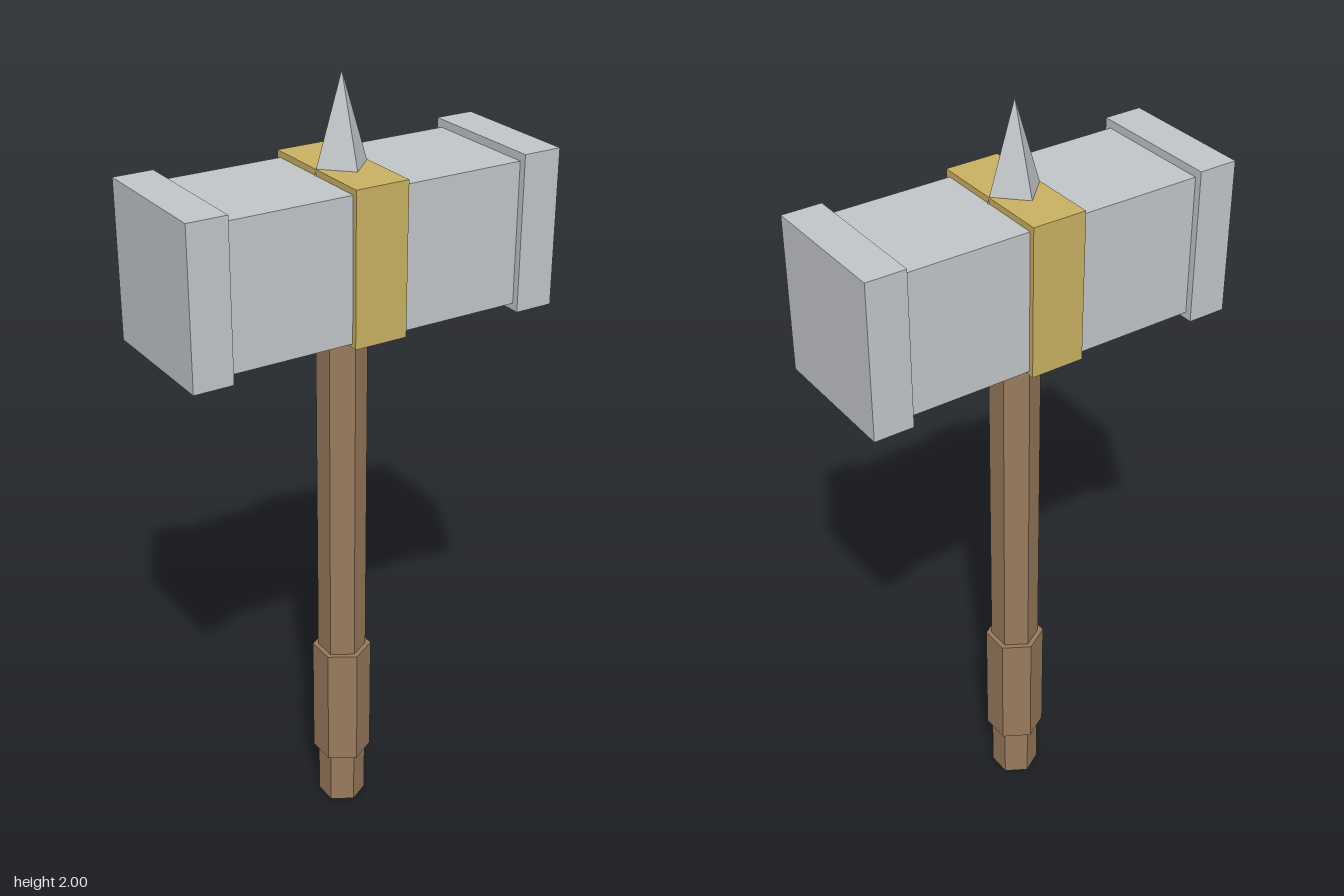
import * as THREE from 'three';

export function createModel() {
  const model = new THREE.Group();
  model.name = 'warHammer';

  const material = (name, color) => {
    const m = new THREE.MeshStandardMaterial({ color });
    m.name = name;
    return m;
  };
  const steel = material('steel', 0xc2c6c9);
  const gold = material('gold', 0xc9b161);
  const wood = material('wood', 0x987a5c);

  const add = (name, geometry, mat, x, y) => {
    const mesh = new THREE.Mesh(geometry, mat);
    mesh.name = name;
    mesh.position.set(x, y, 0);
    model.add(mesh);
  };

  // Box spanning x0..x1 and y0..y1, centred on z
  const block = (name, mat, x0, x1, y0, y1, depth) =>
    add(name, new THREE.BoxGeometry(x1 - x0, y1 - y0, depth), mat, (x0 + x1) / 2, (y0 + y1) / 2);

  // Faceted upright prism or cone from y0 to y1
  const prism = (name, mat, rTop, rBottom, sides, y0, y1) => {
    const g = new THREE.CylinderGeometry(rTop, rBottom, y1 - y0, sides).toNonIndexed();
    g.computeVertexNormals();
    add(name, g, mat, 0, (y0 + y1) / 2);
  };

  // Hexagonal handle with a thicker grip
  prism('handle', wood, 0.062, 0.062, 6, 0, 1.45);
  prism('grip', wood, 0.076, 0.076, 6, 0.15, 0.48);

  // Head with a striking cap at each end
  block('head', steel, -0.39, 0.39, 1.417, 1.77, 0.316);
  block('leftCap', steel, 0.386, 0.486, 1.4, 1.79, 0.352);
  block('rightCap', steel, -0.486, -0.386, 1.4, 1.79, 0.352);

  // Band around the middle and a four-sided spike on top
  block('band', gold, -0.069, 0.069, 1.407, 1.785, 0.342);
  prism('spike', steel, 0, 0.073, 4, 1.768, 2);

  return model;
}
